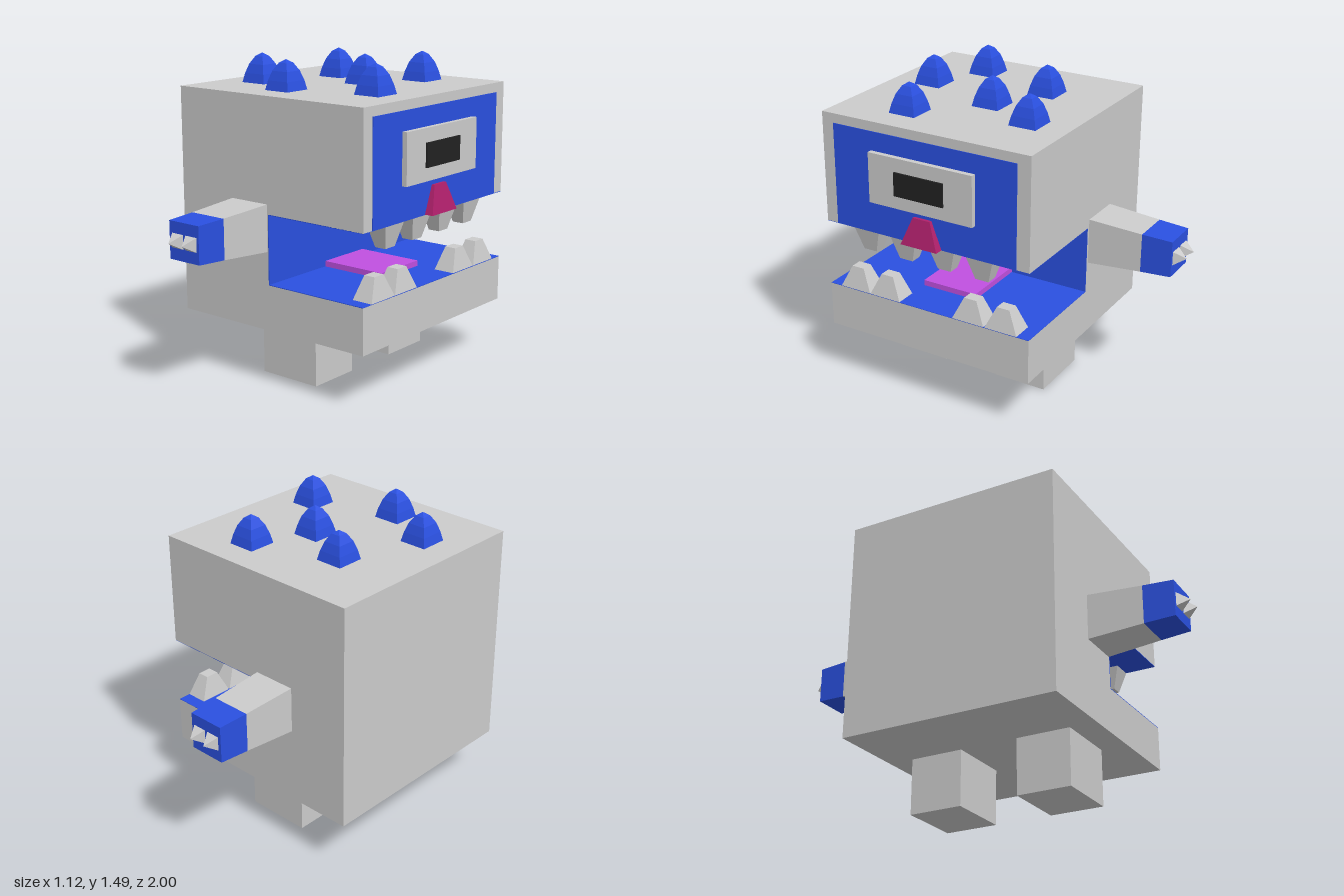
import * as THREE from 'three';

const mat = (color) => new THREE.MeshStandardMaterial({ color, flatShading: true });

export function createModel() {
  const grey = mat(0xcccccc), blue = mat(0x2a50e0), dark = mat(0x222222);
  const crimson = mat(0xb0206c), purple = mat(0xc050e0);
  const model = new THREE.Group();

  const add = (name, geometry, material, parent = model) => {
    const mesh = new THREE.Mesh(geometry, material);
    mesh.name = name;
    parent.add(mesh);
    return mesh;
  };

  // Box given by its limits on each axis
  const block = (name, material, x0, x1, y0, y1, z0, z1) =>
    add(name, new THREE.BoxGeometry(x1 - x0, y1 - y0, z1 - z0)
      .translate((x0 + x1) / 2, (y0 + y1) / 2, (z0 + z1) / 2), material);

  // Box standing on y = 0 whose top is w1 x d1, optionally shifted along x
  const taper = (w0, d0, w1, d1, h, shift = 0) => {
    const g = new THREE.BoxGeometry(w0, h, d0).translate(0, h / 2, 0);
    const p = g.attributes.position;
    for (let i = 0; i < p.count; i++) {
      if (p.getY(i) > h / 2) {
        p.setX(i, p.getX(i) * w1 / w0 + shift);
        p.setZ(i, p.getZ(i) * d1 / d0);
      }
    }
    g.computeVertexNormals();
    return g;
  };

  // Body: a C-shaped profile with the open mouth facing +x
  const profile = new THREE.Shape([
    [-0.565, 0.27], [0.515, 0.27], [0.515, 0.487], [-0.028, 0.487],
    [-0.028, 0.815], [0.515, 0.815], [0.515, 1.35], [-0.565, 1.35],
  ].map(([x, y]) => new THREE.Vector2(x, y)));
  add('body', new THREE.ExtrudeGeometry(profile, { depth: 1.076, bevelEnabled: false })
    .translate(0, 0, -0.54), grey);

  // Blue linings of the mouth and the face panel
  block('mouthFloor', blue, -0.028, 0.515, 0.486, 0.489, -0.54, 0.536);
  block('mouthCeiling', blue, -0.028, 0.515, 0.813, 0.816, -0.54, 0.536);
  block('mouthBack', blue, -0.029, -0.025, 0.487, 0.815, -0.54, 0.536);
  block('facePanel', blue, 0.512, 0.518, 0.815, 1.305, -0.475, 0.475);

  // Eye, nose and tongue
  block('eyePlate', grey, 0.515, 0.543, 0.975, 1.215, -0.27, 0.27);
  block('pupil', dark, 0.54, 0.552, 1.038, 1.15, -0.125, 0.13);
  add('nose', taper(0.045, 0.19, 0.018, 0.09, 0.13, -0.0135), crimson)
    .position.set(0.5375, 0.816, 0);
  block('tongue', purple, -0.026, 0.31, 0.486, 0.516, -0.142, 0.142);

  // Teeth
  for (const z of [0.315, 0.115, -0.09, -0.287]) {
    const tooth = add('upperTooth', taper(0.106, 0.135, 0.056, 0.068, 0.11), grey);
    tooth.rotation.x = Math.PI;
    tooth.position.set(0.462, 0.815, z);
  }
  for (const z of [0.393, 0.226, -0.226, -0.396]) {
    add('lowerTooth', taper(0.106, 0.166, 0.056, 0.064, 0.108), grey)
      .position.set(0.462, 0.487, z);
  }

  // Legs
  block('leftLeg', grey, -0.185, 0.137, 0, 0.28, 0.14, 0.406);
  block('rightLeg', grey, -0.185, 0.137, 0, 0.28, -0.416, -0.15);

  // Arms: tapered sleeve, blue fist and two claws, one on each z side
  for (const side of [1, -1]) {
    const arm = new THREE.Group();
    arm.name = side > 0 ? 'frontArm' : 'backArm';
    add('sleeve', taper(0.213, 0.22, 0.192, 0.186, 0.265), grey, arm);
    add('fist', taper(0.192, 0.186, 0.178, 0.173, 0.145), blue, arm).position.y = 0.265;
    for (const x of [-0.04, 0.042]) {
      const claw = new THREE.ConeGeometry(0.033 * Math.SQRT2, 0.055, 4).rotateY(Math.PI / 4);
      add('claw', claw, grey, arm).position.set(x, 0.4375, 0);
    }
    arm.rotation.x = side * Math.PI / 2;
    arm.position.set(side > 0 ? -0.14 : -0.147, side > 0 ? 0.752 : 0.744, side * 0.535);
    model.add(arm);
  }

  // Four-sided curved spikes on the head
  const curve = [[0.068, 0], [0.058, 0.045], [0.044, 0.088], [0.023, 0.124], [0, 0.14]]
    .map(([r, y]) => new THREE.Vector2(r * Math.SQRT2, y));
  const spike = new THREE.LatheGeometry(curve, 4).rotateY(Math.PI / 4);
  const spots = [[-0.362, 0.197], [-0.226, -0.205], [-0.091, 0.333],
    [0.044, -0.07], [0.179, -0.34], [0.314, 0.197]];
  for (const [x, z] of spots) add('spike', spike, blue).position.set(x, 1.349, z);

  return model;
}
